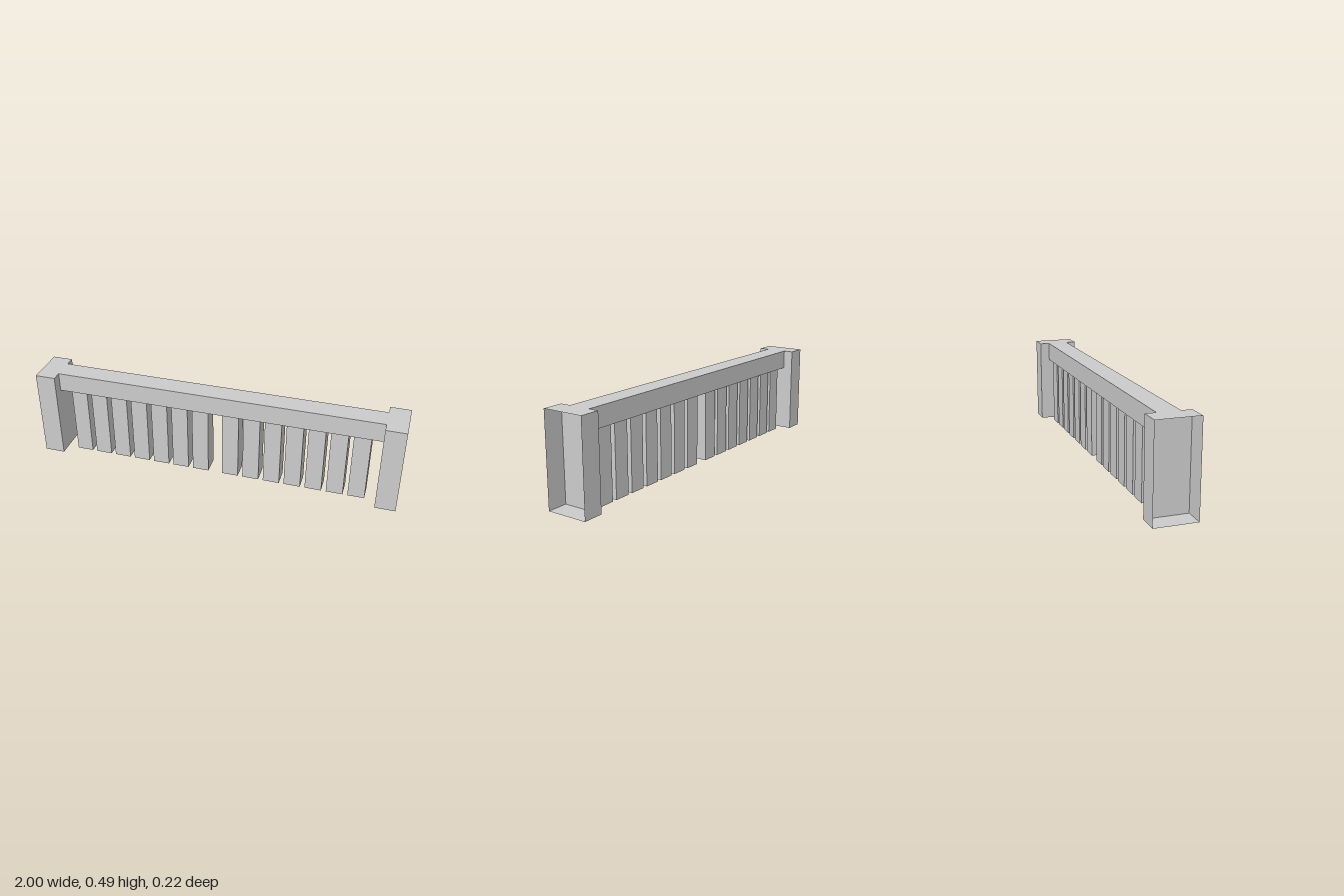
import * as THREE from 'three';

const material = new THREE.MeshStandardMaterial({ color: 0xcccccc, flatShading: true, side: THREE.DoubleSide });

// Box given by its x centre, bottom, and size, centred on z = 0
function addBox(parent, name, x, bottom, width, height, depth) {
  const mesh = new THREE.Mesh(new THREE.BoxGeometry(width, height, depth), material);
  mesh.name = name;
  mesh.position.set(x, bottom + height / 2, 0);
  parent.add(mesh);
  return mesh;
}

// Drops one face of a box (0 = +x, 1 = -x)
function openFace(mesh, face) {
  const index = Array.from(mesh.geometry.index.array);
  index.splice(face * 6, 6);
  mesh.geometry.setIndex(index);
  mesh.geometry.clearGroups();
}

export function createModel() {
  const model = new THREE.Group();
  model.name = 'balustrade';
  const height = 0.488, railBottom = 0.383, postWidth = 0.11;

  // End posts, hollow and open on their outer sides
  for (const side of [1, -1]) {
    const post = addBox(model, side > 0 ? 'leftPost' : 'rightPost',
      side * (1 - postWidth / 2), 0, postWidth, height, 0.224);
    openFace(post, side > 0 ? 0 : 1);
  }

  // Top rail, flush with the post tops
  addBox(model, 'topRail', 0, railBottom, 2 - 2 * postWidth, height - railBottom, 0.116);

  // Two runs of seven balusters with a wider gap in the middle
  const balusters = new THREE.Group();
  balusters.name = 'balusters';
  for (let i = 0; i < 7; i++) {
    addBox(balusters, 'baluster', -0.781 + i * 0.1163, 0, 0.09, railBottom, 0.098);
    addBox(balusters, 'baluster', 0.086 + i * 0.1163, 0, 0.09, railBottom, 0.098);
  }
  model.add(balusters);
  return model;
}
